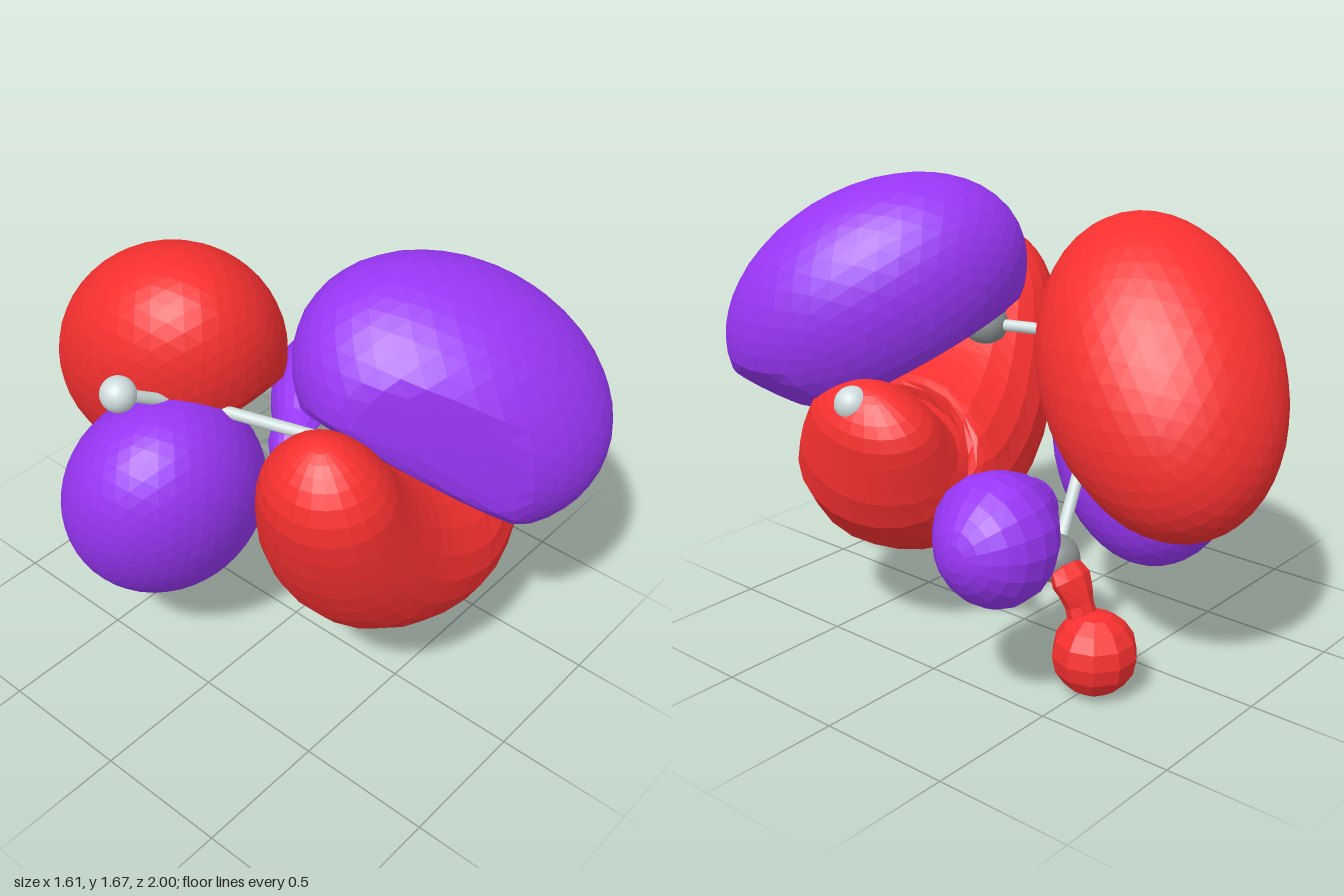
import * as THREE from 'three';

const RED = 0xf83030, PURPLE = 0x9836f5, GREY = 0x8a9090, PALE = 0xcfdcdc;
const V = (a) => new THREE.Vector3(...a);

function addMesh(group, name, geometry, color, flatShading = false) {
  const mesh = new THREE.Mesh(geometry, new THREE.MeshStandardMaterial({ color, flatShading }));
  mesh.name = name;
  group.add(mesh);
  return mesh;
}

// Tilted ellipsoid: squared extents [xx, yy, zz] and skews [xy, xz, yz].
// Each plane {n, through} flattens everything beyond it.
function skewedLobe(center, [xx, yy, zz, xy, xz, yz], planes = []) {
  const a = Math.sqrt(xx), b = xy / a, c = xz / a;
  const d = Math.sqrt(yy - b * b), e = (yz - b * c) / d;
  const f = Math.sqrt(zz - c * c - e * e);
  const geo = new THREE.IcosahedronGeometry(1, 7);
  geo.applyMatrix4(new THREE.Matrix4().set(
    a, 0, 0, center[0], b, d, 0, center[1], c, e, f, center[2], 0, 0, 0, 1));
  const pos = geo.attributes.position, p = new THREE.Vector3();
  for (const plane of planes) {
    const n = V(plane.n).normalize(), limit = n.dot(V(plane.through));
    for (let i = 0; i < pos.count; i++) {
      p.fromBufferAttribute(pos, i);
      const over = n.dot(p) - limit;
      if (over > 0) p.addScaledVector(n, -0.8 * over);
      pos.setXYZ(i, p.x, p.y, p.z);
    }
  }
  geo.computeVertexNormals();
  return geo;
}

// Rounded loft along stations [x, y, z, radius, depthRadius]
function loftLobe(stations, capStart, capEnd, rings = 24, sides = 22) {
  const spine = new THREE.CatmullRomCurve3(stations.map((s) => V(s.slice(0, 3))));
  const radii = new THREE.CatmullRomCurve3(stations.map((s) => new THREE.Vector3(s[3], s[4], 0)));
  const round = (t, cap) => Math.sqrt(Math.max(0, 1 - (1 - Math.min(1, t / cap)) ** 2));
  const positions = [], index = [];
  for (let i = 0; i <= rings; i++) {
    const u = (1 - Math.cos((Math.PI * i) / rings)) / 2;
    const c = spine.getPoint(u), t = spine.getTangent(u), r = radii.getPoint(u);
    const cap = round(u, capStart) * round(1 - u, capEnd);
    const n = new THREE.Vector3(0, 0, 1).addScaledVector(t, -t.z).normalize();
    const b = new THREE.Vector3().crossVectors(t, n);
    for (let j = 0; j < sides; j++) {
      const w = (2 * Math.PI * j) / sides;
      const p = c.clone().addScaledVector(n, Math.cos(w) * r.y * cap)
        .addScaledVector(b, Math.sin(w) * r.x * cap);
      positions.push(p.x, p.y, p.z);
      if (i < rings) {
        const k = (j + 1) % sides, q = i * sides;
        index.push(q + j, q + k, q + sides + j, q + k, q + sides + k, q + sides + j);
      }
    }
  }
  const geo = new THREE.BufferGeometry();
  geo.setAttribute('position', new THREE.Float32BufferAttribute(positions, 3));
  geo.setIndex(index);
  geo.computeVertexNormals();
  return geo;
}

export function createModel() {
  const model = new THREE.Group();
  model.name = 'molecularOrbital';

  // Large lobes
  addMesh(model, 'upperFrontLobe', skewedLobe([0.22, 1.215, 0.515],
    [0.243, 0.216, 0.235, -0.035, 0.062, -0.068], [
      { n: [-0.3, -1, -0.45], through: [0.27, 0.785, 0.84] },
      { n: [-1, -1, 0], through: [0, 1.01, 0] },
      { n: [0.7, -1, 0], through: [0.4, 0.815, 0] },
      { n: [-0.81, 0, 0.58], through: [-0.08, 1, 0.69] },
    ]), PURPLE, true);
  addMesh(model, 'upperBackLobe', skewedLobe([-0.09, 1.065, -0.525],
    [0.176, 0.265, 0.226, -0.06, -0.025, 0.085],
    [{ n: [0, -1, 1], through: [0, 0.86, -0.32] }]), RED, true);
  addMesh(model, 'lowerBackLobe', skewedLobe([-0.4, 0.725, -0.275],
    [0.168, 0.218, 0.137, -0.042, -0.016, 0.05]), PURPLE, true);

  // Curved lobe sweeping across the front
  addMesh(model, 'crescentLobe', loftLobe([
    [-0.46, 1.375, 0.5, 0.17, 0.19],
    [-0.41, 1.14, 0.49, 0.21, 0.24],
    [-0.28, 0.9, 0.45, 0.27, 0.3],
    [-0.09, 0.71, 0.41, 0.32, 0.35],
    [0.15, 0.615, 0.38, 0.33, 0.38],
    [0.36, 0.66, 0.345, 0.29, 0.35],
    [0.48, 0.84, 0.28, 0.19, 0.27],
    [0.55, 1.01, 0.24, 0.13, 0.2],
  ], 0.14, 0.12, 30), RED, true);
  addMesh(model, 'crescentBump', loftLobe([
    [0.2, 0.58, 0.24, 0.22, 0.22],
    [0.22, 0.46, 0.11, 0.15, 0.14],
    [0.23, 0.405, -0.03, 0.06, 0.05],
  ], 0.2, 0.3, 10, 10), RED, true);

  // Small side lobe with a narrow neck
  addMesh(model, 'sideLobe', loftLobe([
    [0.14, 0.6, -0.19, 0.09, 0.09],
    [0.3, 0.6, -0.25, 0.13, 0.11],
    [0.46, 0.62, -0.32, 0.2, 0.18],
    [0.62, 0.635, -0.37, 0.232, 0.225],
    [0.8, 0.645, -0.38, 0.22, 0.21],
  ], 0.15, 0.36, 18, 18), PURPLE, true);

  // Low-poly drop hanging at the bottom
  const drop = addMesh(model, 'bottomLobe', new THREE.SphereGeometry(0.15, 10, 8), RED, true);
  drop.position.set(0.26, 0.155, -0.53);
  addMesh(model, 'bottomLobeNeck', loftLobe([
    [0.26, 0.46, -0.37, 0.05, 0.05],
    [0.26, 0.39, -0.43, 0.08, 0.06],
    [0.26, 0.32, -0.46, 0.05, 0.05],
    [0.26, 0.23, -0.49, 0.06, 0.06],
  ], 0.2, 0.2, 8, 8), RED, true);

  // Atoms and bonds
  const atoms = {
    carbonA: [-0.28, 1.09, -0.19], carbonB: [-0.13, 1.09, 0.3],
    carbonC: [0.3, 0.88, 0.62], carbonD: [0.25, 0.45, -0.35],
    hydrogenA: [-0.59, 1.27, -0.26], hydrogenB: [-0.34, 0.65, -0.71],
    hydrogenC: [0.58, 0.955, 0.28], hydrogenD: [0.23, 0.42, -0.02],
    hydrogenE: [0.26, 0.16, -0.53],
  };
  for (const [name, at] of Object.entries(atoms)) {
    const carbon = name.startsWith('carbon');
    const radius = carbon ? 0.085 : name === 'hydrogenD' ? 0.04 : 0.063;
    addMesh(model, name, new THREE.SphereGeometry(radius, 20, 14), carbon ? GREY : PALE)
      .position.set(...at);
  }
  const bonds = [
    ['carbonA', 'carbonB'], ['carbonB', 'carbonC'], ['carbonA', 'carbonD'],
    ['carbonA', 'hydrogenA'], ['carbonA', 'hydrogenB'], ['carbonC', 'hydrogenC'],
    ['carbonD', 'hydrogenD'], ['carbonD', 'hydrogenE'],
  ];
  for (const [from, to] of bonds) {
    const a = V(atoms[from]), b = V(atoms[to]);
    const bond = addMesh(model, 'bond', new THREE.CylinderGeometry(0.022, 0.022, a.distanceTo(b), 12), PALE);
    bond.position.copy(a).lerp(b, 0.5);
    bond.quaternion.setFromUnitVectors(new THREE.Vector3(0, 1, 0), b.sub(a).normalize());
  }
  return model;
}
